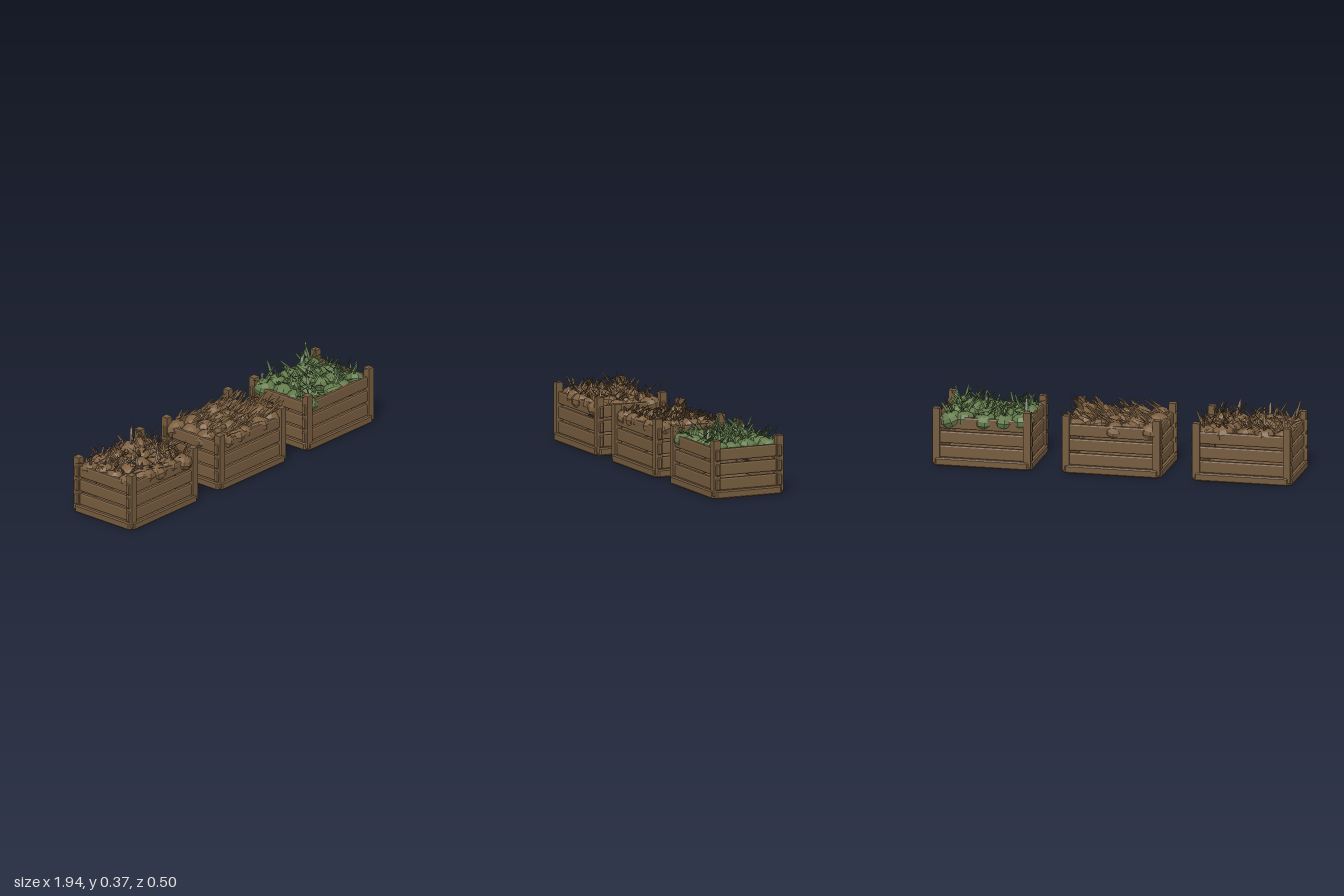
import * as THREE from 'three';

const mat = (name, color, extra = {}) => {
  const m = new THREE.MeshStandardMaterial({ color, flatShading: true, ...extra });
  m.name = name;
  return m;
};

// small seeded generator for the scattered produce
function seeded(seed) {
  let s = seed;
  return (a = 0, b = 1) => {
    s = (s * 16807) % 2147483647;
    return a + (b - a) * (s / 2147483647);
  };
}

// rectangle with cut corners, w by h
function cutRect(w, h, c) {
  const x = w / 2, y = h / 2;
  return new THREE.Shape([
    [-x + c, -y], [x - c, -y], [x, -y + c], [x, y - c],
    [x - c, y], [-x + c, y], [-x, y - c], [-x, -y + c],
  ].map(([a, b]) => new THREE.Vector2(a, b)));
}

// plank along x with chamfered ends
function plankGeometry(length, height, thick) {
  const g = new THREE.ExtrudeGeometry(cutRect(length - 0.012, height - 0.012, 0.003), {
    depth: thick - 0.008, bevelEnabled: true, bevelSegments: 1, bevelSize: 0.006, bevelThickness: 0.004,
  });
  return g.translate(0, 0, -(thick - 0.008) / 2);
}

// bent, tapering leaf blades, all joined in one geometry
function bladesGeometry(blades) {
  const pos = [];
  for (const { root, dir, len, width, droop } of blades) {
    const side = new THREE.Vector3(-dir.z, 0.3 * width, dir.x).normalize();
    const rows = [0, 0.35, 0.7, 1].map((t, i) => {
      const p = root.clone().addScaledVector(dir, len * t);
      p.y -= droop * t * t;
      const w = width * [0.35, 0.5, 0.36, 0.02][i];
      return [p.clone().addScaledVector(side, -w), p.clone().addScaledVector(side, w)];
    });
    for (let i = 0; i < 3; i++) {
      const [a, b] = rows[i], [c, d] = rows[i + 1];
      for (const v of [a, b, c, b, d, c]) pos.push(v.x, v.y, v.z);
    }
  }
  const g = new THREE.BufferGeometry();
  g.setAttribute('position', new THREE.Float32BufferAttribute(pos, 3));
  g.computeVertexNormals();
  return g;
}

export function createModel() {
  const model = new THREE.Group();
  model.name = 'produceCrates';
  const wood = mat('wood', 0x755b3e);
  const rootSkin = mat('brown produce', 0x7c5f40);
  const greenSkin = mat('green produce', 0x627a4a);
  const dryLeaf = mat('dry leaves', 0x70563a, { side: THREE.DoubleSide });
  const greenLeaf = mat('green leaves', 0x566d42, { side: THREE.DoubleSide });

  const add = (parent, name, geo, material, x = 0, y = 0, z = 0) => {
    const m = new THREE.Mesh(geo, material);
    m.name = name;
    m.position.set(x, y, z);
    parent.add(m);
    return m;
  };

  // base tray with cut corners
  const baseGeo = new THREE.ExtrudeGeometry(cutRect(0.518, 0.398, 0.022), {
    depth: 0.029, bevelEnabled: true, bevelSegments: 1, bevelSize: 0.006, bevelThickness: 0.007,
  }).rotateX(-Math.PI / 2).translate(0, 0.007, 0);
  const postGeo = new THREE.BoxGeometry(0.038, 0.29, 0.038);
  const longSlat = plankGeometry(0.53, 0.062, 0.024);
  const endSlat = plankGeometry(0.4, 0.062, 0.024).rotateY(Math.PI / 2);
  const bulbGeo = new THREE.SphereGeometry(1, 9, 6);

  function crate(x, skin, leaf, seed, windswept) {
    const g = new THREE.Group();
    g.name = 'crate';
    g.position.set(x, 0, 0.01);
    model.add(g);
    add(g, 'base', baseGeo, wood);

    for (const s of [-1, 1]) {
      for (const t of [-1, 1]) add(g, 'cornerPost', postGeo, wood, s * 0.239, 0.16, t * 0.181);
      for (const y of [0.074, 0.15, 0.227]) {
        add(g, 'longSlat', longSlat, wood, 0, y, s * 0.177);
        add(g, 'endSlat', endSlat, wood, s * 0.236, y, 0);
      }
    }

    // bed that carries the heap
    add(g, 'produceBed', new THREE.BoxGeometry(0.45, 0.03, 0.335), skin, 0, 0.21, 0);

    const rnd = seeded(seed);
    const blades = [];
    for (let i = 0; i < 5; i++) {
      for (let j = 0; j < 4; j++) {
        const px = (i - 2) * 0.093 + rnd(-0.02, 0.02);
        const pz = (j - 1.5) * 0.094 + rnd(-0.018, 0.018);
        const r = rnd(0.048, 0.064);
        const py = 0.242 + rnd(-0.01, 0.008);
        const bulb = add(g, 'produce', bulbGeo, skin, px, py, pz);
        bulb.scale.set(r, r * 0.72, r);
        bulb.rotation.set(rnd(-0.4, 0.4), rnd(0, 6.28), rnd(-0.4, 0.4));

        // tuft of leaves
        const n = windswept ? 8 : 9;
        for (let k = 0; k < n; k++) {
          const a = windswept ? rnd(-0.15, 0.65) : rnd(0, Math.PI * 2);
          const tilt = windswept ? rnd(0.35, 0.85) : rnd(0.3, 1.1);
          const dir = new THREE.Vector3(
            Math.cos(a) * Math.cos(tilt), Math.sin(tilt), Math.sin(a) * Math.cos(tilt));
          const root = new THREE.Vector3(px + rnd(-0.025, 0.025), py + r * 0.5, pz + rnd(-0.025, 0.025));
          // keep the tips inside the overall outline
          let len = rnd(0.06, 0.13);
          const fit = (p, d, lim) => (Math.abs(p + d * len) > lim ? (lim - Math.abs(p)) / Math.abs(d) : len);
          len = fit(root.x, dir.x, 0.3);
          len = fit(root.z, dir.z, 0.25);
          len = Math.min(len, (0.362 - root.y) / dir.y + 0.01);
          blades.push({ root, dir, len, width: rnd(0.009, 0.017), droop: rnd(0, 0.03) });
        }
      }
    }
    add(g, 'leaves', bladesGeometry(blades), leaf);
  }

  crate(-0.67, rootSkin, dryLeaf, 1207, false);
  crate(0.017, rootSkin, dryLeaf, 5521, true);
  crate(0.7, greenSkin, greenLeaf, 9043, false);
  return model;
}
